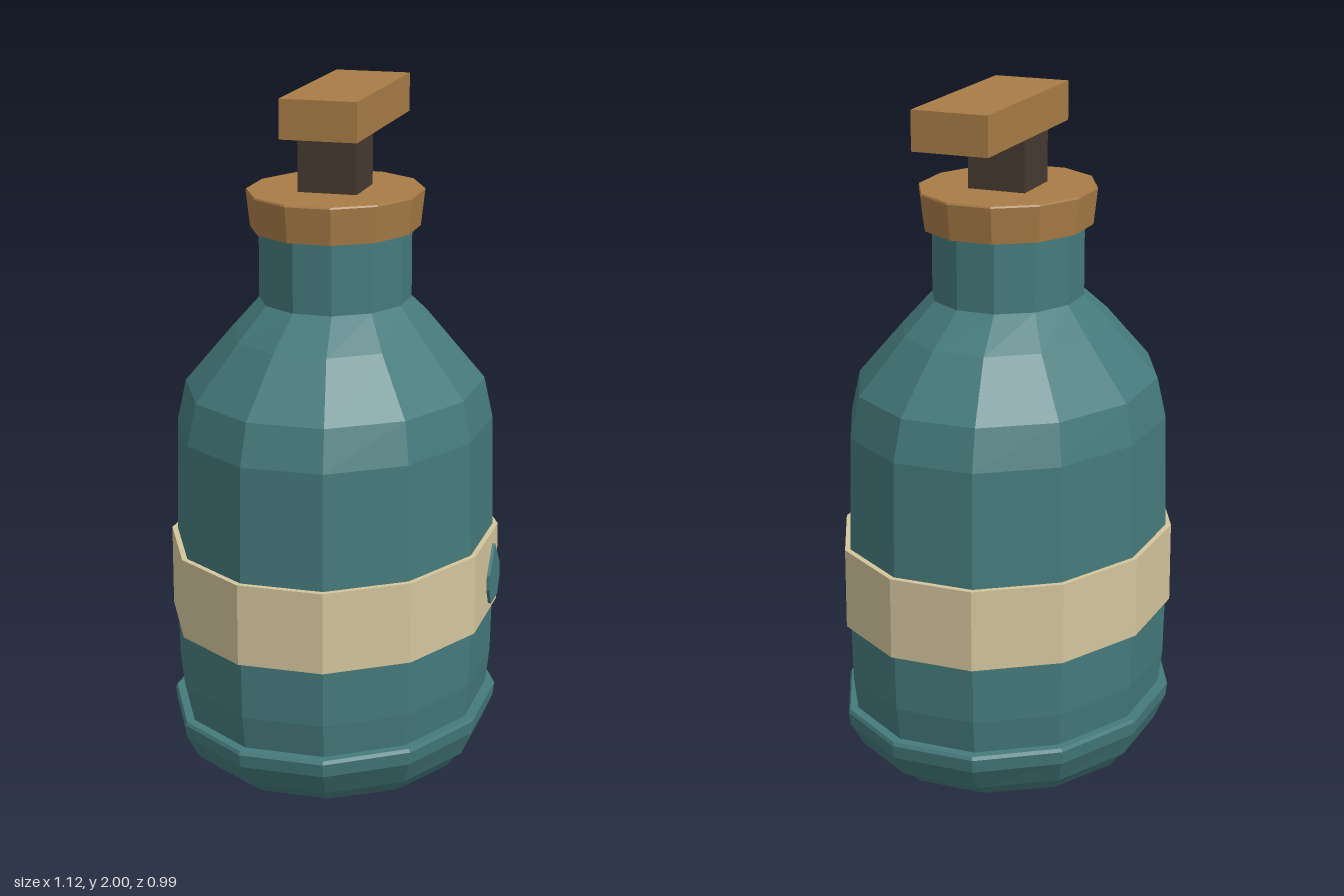
import * as THREE from 'three';

const SIDES = 12;

const material = (name, color) => {
  const m = new THREE.MeshStandardMaterial({ color, flatShading: true });
  m.name = name;
  return m;
};

// Closed solid through elliptical twelve-sided rings [y, halfWidth, halfDepth], bottom to top
function loft(rings) {
  const pos = [], index = [];
  for (const [y, a, b] of rings) {
    for (let i = 0; i < SIDES; i++) {
      const t = ((i + 0.5) / SIDES) * Math.PI * 2;
      pos.push(a * Math.cos(t), y, b * Math.sin(t));
    }
  }
  for (let r = 0; r < rings.length - 1; r++) {
    for (let i = 0; i < SIDES; i++) {
      const j = (i + 1) % SIDES, lo = r * SIDES, hi = lo + SIDES;
      index.push(lo + i, hi + i, lo + j, lo + j, hi + i, hi + j);
    }
  }
  const last = (rings.length - 1) * SIDES, centre = rings.length * SIDES;
  pos.push(0, rings[0][0], 0, 0, rings[rings.length - 1][0], 0);
  for (let i = 0; i < SIDES; i++) {
    const j = (i + 1) % SIDES;
    index.push(centre, i, j, centre + 1, last + j, last + i);
  }
  const g = new THREE.BufferGeometry();
  g.setAttribute('position', new THREE.Float32BufferAttribute(pos, 3));
  g.setIndex(index);
  g.computeVertexNormals();
  return g;
}

export function createModel() {
  const teal = material('teal glaze', 0x457a7c);
  const cream = material('cream label', 0xd3c49c);
  const wood = material('wood', 0xa87c46);
  const dark = material('dark stem', 0x463a31);

  const group = new THREE.Group();
  group.name = 'pumpBottle';
  const add = (name, geometry, mat, x = 0, y = 0, z = 0) => {
    const mesh = new THREE.Mesh(geometry, mat);
    mesh.name = name;
    mesh.position.set(x, y, z);
    group.add(mesh);
  };

  // Bottle: foot, wall, shoulder and neck
  add('bottle', loft([
    [0, 0.445, 0.395],
    [0.06, 0.515, 0.44],
    [0.18, 0.55, 0.455],
    [0.28, 0.566, 0.466],
    [0.45, 0.57, 0.47],
    [0.69, 0.568, 0.467],
    [1.03, 0.56, 0.46],
    [1.15, 0.523, 0.435],
    [1.31, 0.375, 0.3],
    [1.4, 0.247, 0.221],
    [1.62, 0.247, 0.221],
  ]), teal);

  // Raised rim around the foot
  add('baseRim', loft([
    [0.055, 0.525, 0.445],
    [0.13, 0.579, 0.478],
    [0.17, 0.586, 0.483],
    [0.18, 0.58, 0.478],
  ]), teal);

  // Wrap-around label with a drop emblem
  add('labelBand', loft([[0.45, 0.586, 0.483], [0.69, 0.586, 0.483]]), cream);
  const drop = new THREE.Shape([
    [0, 0.68], [-0.068, 0.6], [-0.07, 0.555], [-0.044, 0.507],
    [0.044, 0.507], [0.07, 0.555], [0.068, 0.6],
  ].map(([x, y]) => new THREE.Vector2(x, y)));
  add('dropEmblem', new THREE.ExtrudeGeometry(drop, { depth: 0.009, bevelEnabled: false }),
    teal, 0, 0, 0.483);

  // Pump: collar, stem and press bar
  add('collar', loft([[1.61, 0.28, 0.245], [1.715, 0.294, 0.257], [1.72, 0.291, 0.255]]), wood);
  add('pumpStem', new THREE.BoxGeometry(0.175, 0.18, 0.175), dark, 0, 1.8, 0);
  add('pressBar', new THREE.BoxGeometry(0.592, 0.115, 0.228), wood, 0.115, 1.9425, 0);

  // The whole bottle is turned slightly to its left
  group.rotation.y = 0.48;
  const root = new THREE.Group();
  root.name = 'model';
  root.add(group);
  return root;
}
